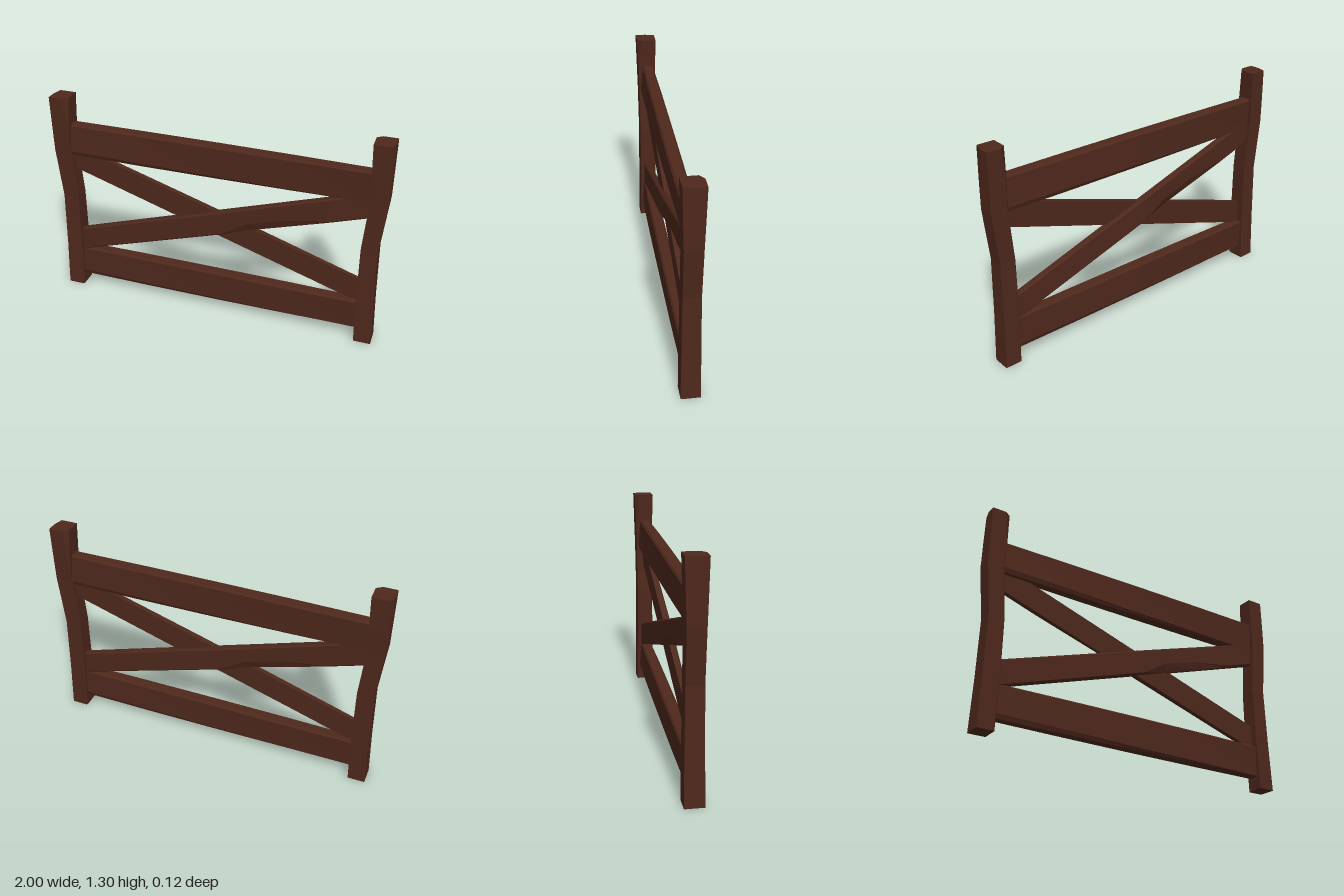
import * as THREE from 'three';

const wood = new THREE.MeshStandardMaterial({ color: 0x4e281c, flatShading: true });

// Skin a row of equal-length rings of [x, y, z] and close both ends
function loft(name, rings) {
  const n = rings[0].length, pos = [];
  const tri = (a, b, c) => pos.push(...a, ...b, ...c);
  for (let i = 0; i < rings.length - 1; i++) {
    for (let j = 0; j < n; j++) {
      const k = (j + 1) % n, p = rings[i], q = rings[i + 1];
      tri(p[j], p[k], q[k]);
      tri(p[j], q[k], q[j]);
    }
  }
  const last = rings[rings.length - 1];
  for (let j = 1; j < n - 1; j++) {
    tri(rings[0][0], rings[0][j + 1], rings[0][j]);
    tri(last[0], last[j], last[j + 1]);
  }
  const geo = new THREE.BufferGeometry();
  geo.setAttribute('position', new THREE.Float32BufferAttribute(pos, 3));
  geo.computeVertexNormals();
  const mesh = new THREE.Mesh(geo, wood);
  mesh.name = name;
  return mesh;
}

// Crooked post with two diagonal corners hewn away towards the top
function post(name) {
  // y, outer x, inner x, half depth, inner cut (x, z), outer cut (x, z)
  const levels = [
    [0, -0.99, -0.888, 0.055, 0.006, 0.006, 0.004, 0.004],
    [0.3, -0.978, -0.878, 0.052, 0.004, 0.004, 0.003, 0.003],
    [0.65, -0.97, -0.876, 0.049, 0.004, 0.004, 0.003, 0.003],
    [0.96, -1.0, -0.9, 0.05, 0.004, 0.004, 0.002, 0.002],
    [1.1, -1.0, -0.894, 0.054, 0.006, 0.006, 0.006, 0.025],
    [1.3, -1.0, -0.886, 0.059, 0.033, 0.025, 0.014, 0.058],
  ];
  return loft(name, levels.map(([y, xo, xi, d, ix, iz, ox, oz]) => [
    [xo, y, d], [xi - ix, y, d], [xi, y, d - iz],
    [xi, y, -d], [xo + ox, y, -d], [xo, y, -d + oz],
  ]));
}

// Bevelled board running along x; twist shifts its top and bottom edges in z
function rail(name, yc, twist) {
  const stations = [[-0.92, 0.033], [-0.45, 0.037], [0, 0.037], [0.45, 0.037], [0.92, 0.033]];
  return loft(name, stations.map(([x, d]) => {
    const s = twist * x / 0.9, h = 0.101 - 0.003 * Math.abs(x), b = 0.01;
    const low = 0.016 - 0.012 * x, lowBack = 0.016 + 0.012 * x;
    return [
      [x, yc - h, -d + b - s], [x, yc - h + lowBack, -d - s],
      [x, yc + h - b, -d + s], [x, yc + h, -d + b + s],
      [x, yc + h, d - b + s], [x, yc + h - b, d + s],
      [x, yc - h + low, d - s], [x, yc - h, d - b - s],
    ];
  }));
}

// Diagonal board rising towards +x, with a gouge along its lower front edge
function brace(name) {
  // x, front depth, gouge height, gouge depth
  const stations = [
    [-0.91, 0.026, 0.008, 0.006], [-0.4, 0.03, 0.008, 0.006],
    [0.05, 0.034, 0.008, 0.006], [0.2, 0.033, 0.055, 0.022],
    [0.42, 0.031, 0.05, 0.014], [0.67, 0.029, 0.01, 0.006], [0.92, 0.026, 0.008, 0.006],
  ];
  return loft(name, stations.map(([x, d, gh, gd]) => {
    const y = 0.62 + 0.325 * x, h = 0.077, b = 0.008;
    return [
      [x, y - h, -0.008], [x, y + h, -0.008],
      [x, y + h, d - b], [x, y + h - b, d],
      [x, y - h + gh, d], [x, y - h, d - gd],
    ];
  }));
}

export function createModel() {
  const model = new THREE.Group();
  model.name = 'fencePanel';

  // The panel matches itself after a half turn about the vertical axis
  for (const [side, turn] of [['right', 0], ['left', Math.PI]]) {
    const p = post(side + 'Post');
    p.rotation.y = turn;
    model.add(p);
  }
  for (const [face, turn] of [['front', 0], ['back', Math.PI]]) {
    const b = brace(face + 'Brace');
    b.rotation.y = turn;
    model.add(b);
  }

  model.add(rail('topRail', 1.03, 0.007), rail('bottomRail', 0.175, 0.005));

  // Outward winding: reverse any mesh whose signed volume is negative
  model.traverse((o) => {
    if (!o.isMesh) return;
    const pos = o.geometry.attributes.position;
    const v = [0, 1, 2].map(() => new THREE.Vector3());
    let volume = 0;
    for (let i = 0; i < pos.count; i += 3) {
      v.forEach((p, k) => p.fromBufferAttribute(pos, i + k));
      volume += v[0].dot(v[1].clone().cross(v[2]));
    }
    if (volume >= 0) return;
    for (let i = 0; i < pos.count; i += 3) {
      v.forEach((p, k) => p.fromBufferAttribute(pos, i + k));
      pos.setXYZ(i + 1, v[2].x, v[2].y, v[2].z);
      pos.setXYZ(i + 2, v[1].x, v[1].y, v[1].z);
    }
    o.geometry.computeVertexNormals();
  });
  return model;
}
